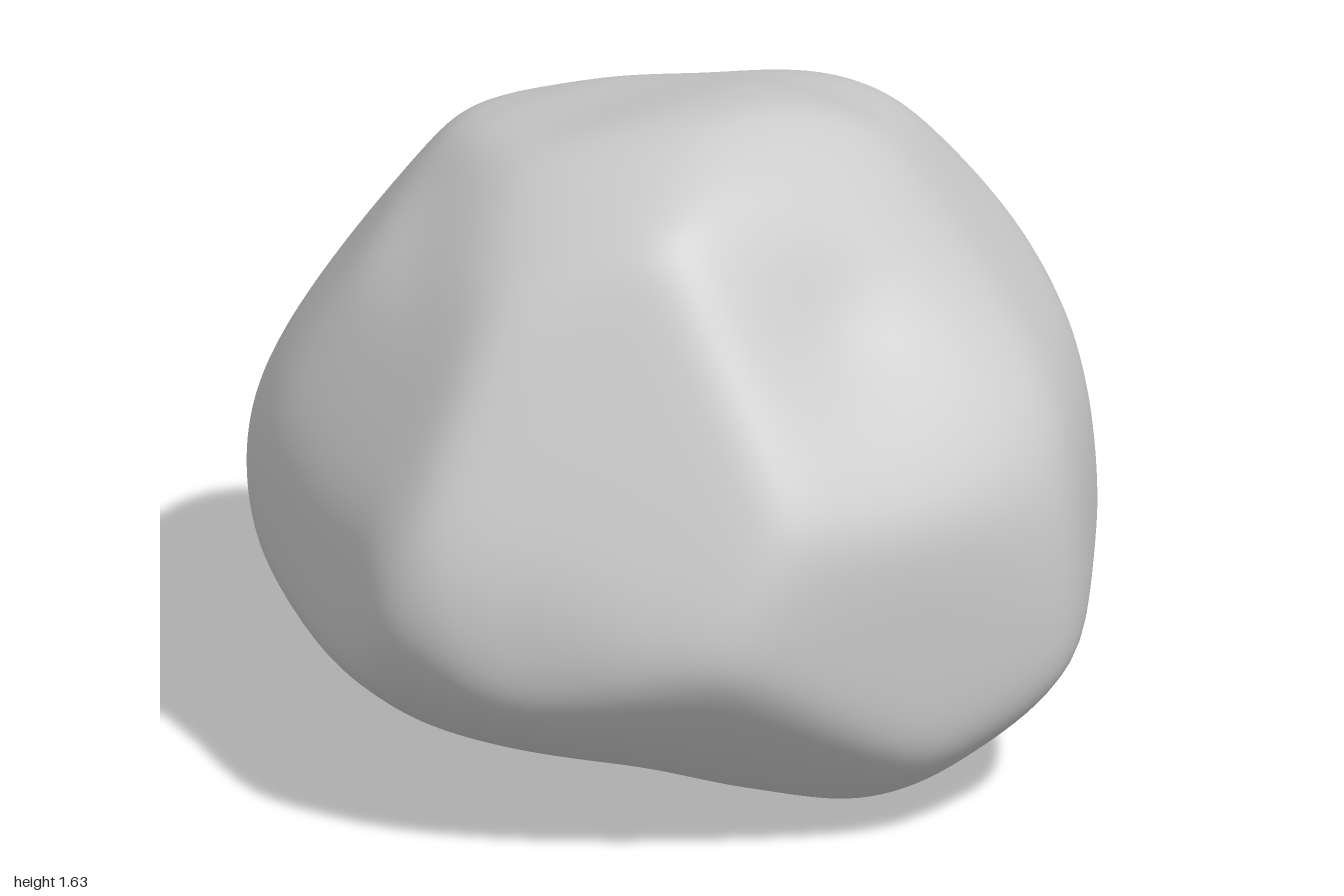
import * as THREE from 'three';
import { mergeVertices } from 'three/addons/utils/BufferGeometryUtils.js';

const MID = 0.825, SHARP = 30, STEPS = 360;
const SWELL = 1.027; // makes up for the rounding of the edges

// Outlines as u, v pairs around the middle of the boulder
const frontOutline = [1, -.32, .98, -.07, .9, .2, .72, .43, .5, .68, .27, .83, .1, .81, -.2, .72, -.45, .66, -.67, .59,
  -.86, .36, -.95, .06, -1, -.16, -.93, -.35, -.73, -.58, -.47, -.73, -.05, -.77, .18, -.82, .4, -.78, .6, -.77, .82, -.65, .97, -.47];
const sideOutline = [-.97, -.14, -.94, .08, -.82, .35, -.58, .6, -.38, .74, -.2, .81, 0, .83, .2, .8, .37, .73, .59, .67,
  .7, .56, .8, .38, .88, .1, .97, -.17, .93, -.44, .78, -.58, .45, -.71, 0, -.79, -.08, -.82, -.18, -.79, -.42, -.67, -.63, -.6, -.82, -.45, -.95, -.25];
const topOutline = [1, .22, .97, .34, .78, .62, .6, .74, .4, .83, .2, .94, 0, .97, -.22, .97, -.33, .93, -.5, .79, -.69, .65,
  -.76, .47, -.85, .23, -.94, 0, -1, -.2, -.95, -.4, -.8, -.54, -.5, -.72, -.22, -.86, -.04, -.97, .06, -.96, .3, -.84, .55, -.73, .73, -.62, .84, -.4, .94, -.1];
const slantOutlineA = [.98, -.25, .94, .08, .84, .37, .63, .62, .39, .79, .01, .78, -.28, .77, -.52, .71, -.65, .61, -.79, .42,
  -.93, .19, -1, -.07, -.98, -.25, -.87, -.46, -.66, -.63, -.5, -.73, -.02, -.78, .22, -.82, .49, -.84, .72, -.72, .96, -.52];
const slantOutlineB = [-.98, -.25, -.95, .08, -.85, .35, -.62, .58, -.39, .78, -.18, .84, .02, .84, .32, .74, .57, .52, .76, .36,
  .89, .14, 1, -.22, .95, -.42, .76, -.59, .49, -.76, .29, -.79, -.09, -.81, -.56, -.76, -.77, -.54, -.97, -.32];
const slantOutlineC = [-.96, -.21, -.93, .08, -.76, .4, -.49, .69, -.2, .84, .02, .85, .33, .83, .52, .65, .71, .42, .85, .16,
  .94, -.16, .86, -.42, .66, -.69, .39, -.81, .08, -.85, -.26, -.79, -.61, -.62, -.88, -.35];

// Turns an outline into a smooth radius-by-angle function
function polarRadius(outline) {
  const pts = [];
  for (let i = 0; i < outline.length; i += 2) pts.push(new THREE.Vector3(outline[i], outline[i + 1], 0));
  const loop = new THREE.CatmullRomCurve3(pts, true).getPoints(240);
  const table = [];
  for (let k = 0; k < STEPS; k++) {
    const a = k / STEPS * Math.PI * 2, c = Math.cos(a), s = Math.sin(a);
    let r = 0;
    for (let i = 0; i < loop.length - 1; i++) {
      const p = loop[i], q = loop[i + 1];
      const dp = c * p.y - s * p.x, dq = c * q.y - s * q.x;
      if (dp * dq > 0 || dp === dq) continue;
      const t = dp / (dp - dq);
      r = Math.max(r, c * (p.x + t * (q.x - p.x)) + s * (p.y + t * (q.y - p.y)));
    }
    table.push(r);
  }
  return (angle) => {
    const f = ((angle / (Math.PI * 2) + 1) % 1) * STEPS, i = Math.floor(f);
    return THREE.MathUtils.lerp(table[i % STEPS], table[(i + 1) % STEPS], f - i);
  };
}

// A carving direction: the outline applied along one line of sight
function carve(outline, azimuth, elevation) {
  const a = THREE.MathUtils.degToRad(azimuth), e = THREE.MathUtils.degToRad(elevation);
  return {
    radius: polarRadius(outline),
    right: new THREE.Vector3(Math.cos(a), 0, -Math.sin(a)),
    up: new THREE.Vector3(-Math.sin(e) * Math.sin(a), Math.cos(e), -Math.sin(e) * Math.cos(a)),
  };
}

const unit = (x, y, z) => new THREE.Vector3(x, y, z).normalize();

export function createModel() {
  const carvings = [
    carve(frontOutline, 0, 0), carve(sideOutline, 90, 0), carve(topOutline, 0, 90),
    carve(slantOutlineA, 35, 20), carve(slantOutlineB, 215, 20), carve(slantOutlineC, 145, -20),
  ];
  // Flat chips: normal and distance from the middle
  const chips = [
    [.46, .38, .81, .78], // front face, +x half
    [-.37, .43, .82, .775], // front face, -x half
    [.94, -.1, .3, .925], // +x face
    [.7, .5, .2, .78], // slope above the +x face
    [.6, .6, -.5, .83], // back slope on the +x side
    [-.68, .58, .42, .8], // shoulder on the -x side
    [-.4, -.75, -.53, .82], // undercut at the back
    [-.45, -.75, .5, .89], [.4, -.75, .5, .87], [.4, -.7, -.6, .87], // underside
  ].map(([x, y, z, h]) => ({ n: unit(x, y, z), h }));
  // Shallow hollows: direction, depth and tightness
  const hollows = [
    [-.25, -.49, -.53, .06, 30], [-.76, .39, -.33, .05, 16], [.6, .43, .12, .04, 30],
  ].map(([x, y, z, depth, tight]) => ({ n: unit(x, y, z), depth, tight }));

  let geo = new THREE.IcosahedronGeometry(1, 40);
  geo.deleteAttribute('uv');
  geo.deleteAttribute('normal');
  geo = mergeVertices(geo, 1e-5);
  const pos = geo.attributes.position, d = new THREE.Vector3();

  // Push each point out to the blended minimum of all carvings and chips
  for (let i = 0; i < pos.count; i++) {
    d.fromBufferAttribute(pos, i).normalize();
    let sum = 0;
    for (const { radius, right, up } of carvings) {
      const u = d.dot(right), v = d.dot(up);
      sum += Math.pow(Math.hypot(u, v) / radius(Math.atan2(v, u)), SHARP);
    }
    for (const { n, h } of chips) sum += Math.pow(Math.max(0, d.dot(n)) / h, SHARP);
    let r = SWELL * Math.pow(sum, -1 / SHARP);
    for (const { n, depth, tight } of hollows) r -= depth * Math.exp(tight * (d.dot(n) - 1));
    pos.setXYZ(i, d.x * r, d.y * r, d.z * r);
  }
  geo.translate(0, MID, 0);
  geo.computeVertexNormals();

  const boulder = new THREE.Mesh(geo, new THREE.MeshStandardMaterial({ color: 0xcccccc }));
  boulder.name = 'boulder';
  const group = new THREE.Group();
  group.name = 'rock';
  group.add(boulder);
  return group;
}
